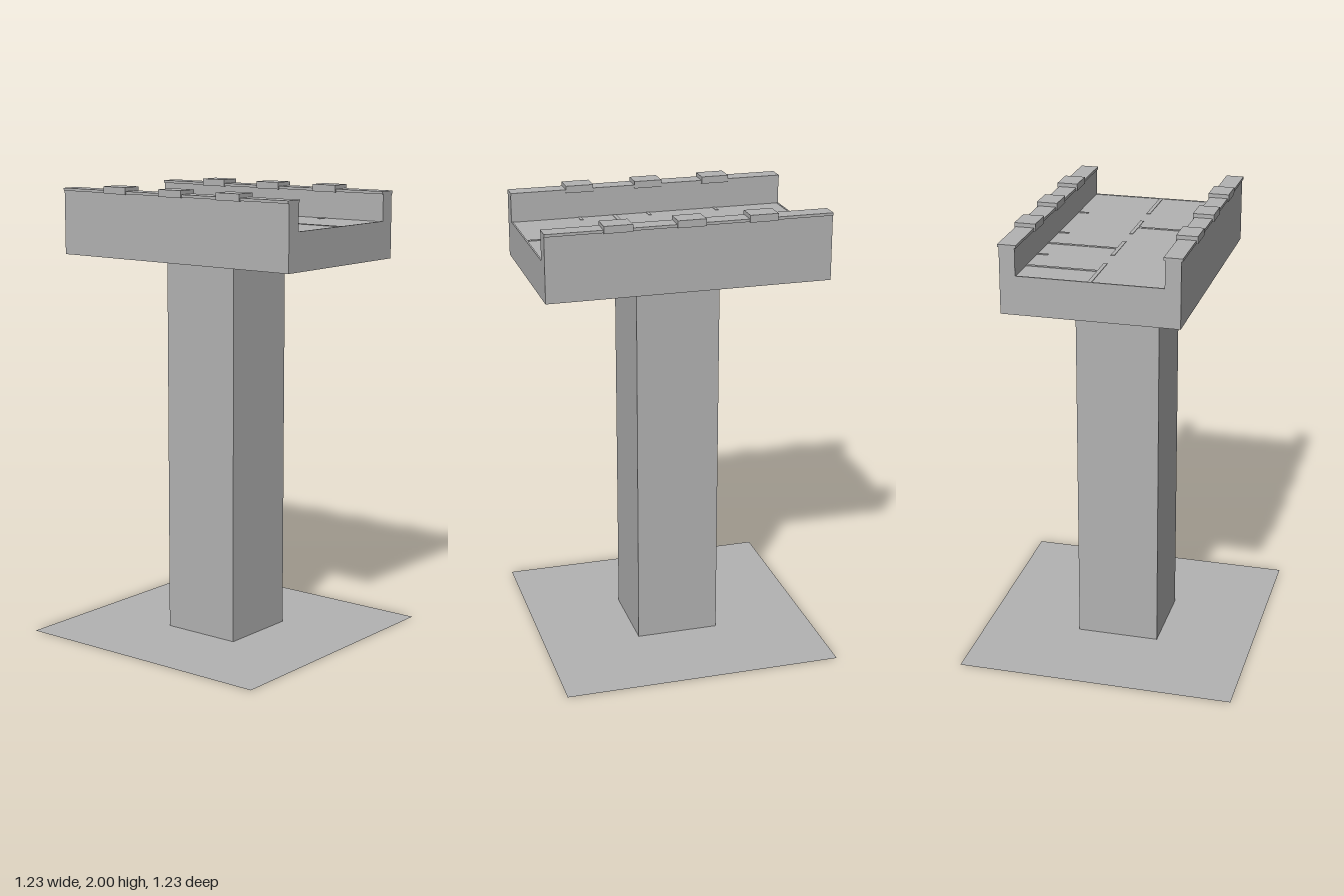
import * as THREE from 'three';

export function createModel() {
  const model = new THREE.Group();
  model.name = 'bridgePier';

  const concrete = new THREE.MeshStandardMaterial({ color: 0xb2b2b2 });
  concrete.name = 'concrete grey';
  const ground = new THREE.MeshStandardMaterial({ color: 0xb2b2b2, side: THREE.DoubleSide });
  ground.name = 'base grey';

  const half = 0.615; // half length of deck and base
  const floorY = 1.853;

  // Box given by its extents on each axis
  const box = (name, [x0, x1], [y0, y1], [z0, z1], parent = model) => {
    const mesh = new THREE.Mesh(new THREE.BoxGeometry(x1 - x0, y1 - y0, z1 - z0), concrete);
    mesh.position.set((x0 + x1) / 2, (y0 + y1) / 2, (z0 + z1) / 2);
    mesh.name = name;
    parent.add(mesh);
    return mesh;
  };

  // Flat square base sheet
  const base = new THREE.Mesh(new THREE.PlaneGeometry(half * 2, half * 2).rotateX(-Math.PI / 2), ground);
  base.name = 'basePlate';
  model.add(base);

  // Square column
  box('column', [-0.184, 0.184], [0.001, 1.69], [-0.184, 0.184]);

  // U-shaped deck with side walls
  const profile = new THREE.Shape([
    [-0.374, 1.69], [0.374, 1.69], [0.374, 1.972], [0.308, 1.972],
    [0.308, floorY], [-0.308, floorY], [-0.308, 1.972], [-0.374, 1.972],
  ].map(([x, y]) => new THREE.Vector2(x, y)));
  const deckGeometry = new THREE.ExtrudeGeometry(profile, { depth: half * 2, bevelEnabled: false });
  const deck = new THREE.Mesh(deckGeometry.translate(0, 0, -half), concrete);
  deck.name = 'deck';
  model.add(deck);

  // Wall copings, raised cap blocks and small floor slots on both sides
  const span = (side, a, b) => (side > 0 ? [a, b] : [-b, -a]);
  for (const side of [1, -1]) {
    const label = side > 0 ? 'left' : 'right';
    box(label + 'Coping', span(side, 0.302, 0.38), [1.971, 1.983], [-half, half]);
    for (const z of [-0.31, 0, 0.31]) {
      box(label + 'CapBlock', span(side, 0.296, 0.386), [1.969, 2], [z - 0.061, z + 0.061]);
      box(label + 'FloorSlot', span(side, 0.262, 0.308), [floorY - 0.002, floorY + 0.002], [z - 0.007, z + 0.007]);
    }
  }

  // Thin joint strips on the deck floor
  const joints = new THREE.Group();
  joints.name = 'floorJoints';
  model.add(joints);
  const stripY = [floorY - 0.002, floorY + 0.002];
  for (const z of [[-half, -0.369], [-0.255, -0.06], [0.053, 0.248], [0.362, half]]) {
    box('centreJoint', [-0.008, 0.008], stripY, z, joints);
  }
  for (const [x, z] of [[[0.008, 0.308], -0.465], [[0.008, 0.308], -0.157], [[-0.308, -0.008], 0.153]]) {
    box('crossJoint', x, stripY, [z - 0.008, z + 0.008], joints);
  }
  for (const x of [[0.008, 0.308], [-0.308, -0.008]]) {
    box('frontEdgeJoint', x, stripY, [half - 0.007, half], joints);
    box('backEdgeJoint', x, stripY, [-half, -half + 0.007], joints);
  }

  return model;
}
